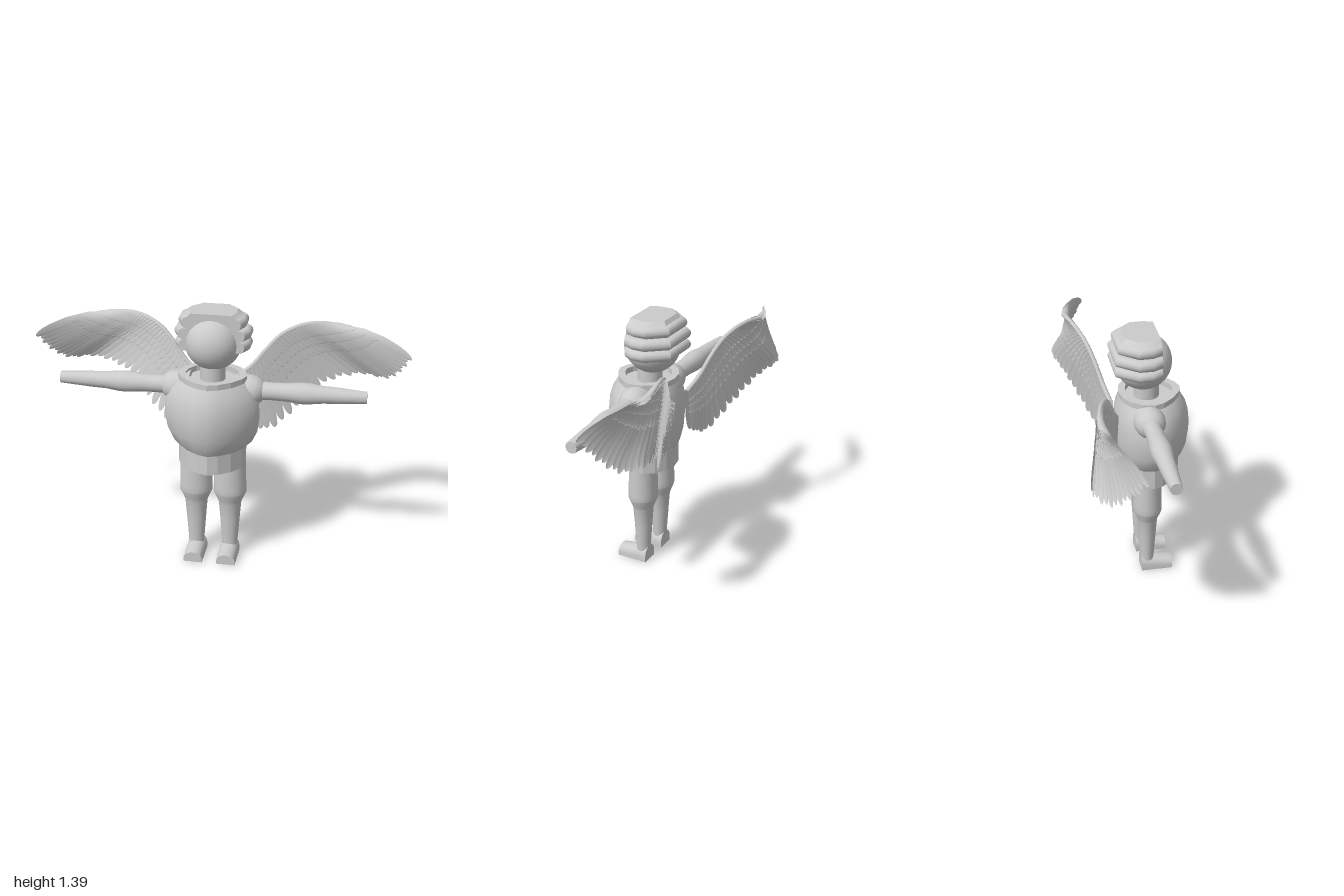
import * as THREE from 'three';
import { mergeGeometries, toCreasedNormals } from 'three/addons/utils/BufferGeometryUtils.js';

const V = (x, y, z) => new THREE.Vector3(x, y, z);
const grey = new THREE.MeshStandardMaterial({ color: 0xcccccc });
const greyDouble = new THREE.MeshStandardMaterial({ color: 0xcccccc, side: THREE.DoubleSide });

function add(parent, name, geometry, x = 0, y = 0, z = 0, material = grey) {
  const mesh = new THREE.Mesh(geometry, material);
  mesh.name = name;
  mesh.position.set(x, y, z);
  parent.add(mesh);
  return mesh;
}

// Skin closed loops of points, optionally capped, keeping edges sharper than `crease`
function loft(loops, caps = true, crease = 0.6) {
  const n = loops[0].length, pos = loops.flat().flatMap(p => [p.x, p.y, p.z]), index = [];
  for (let r = 0; r < loops.length - 1; r++) for (let i = 0; i < n; i++) {
    const a = r * n + i, b = r * n + (i + 1) % n;
    index.push(a, b, b + n, a, b + n, a + n);
  }
  if (caps) for (let i = 1; i < n - 1; i++) {
    const t = (loops.length - 1) * n;
    index.push(0, i + 1, i, t, t + i, t + i + 1);
  }
  const g = new THREE.BufferGeometry();
  g.setAttribute('position', new THREE.Float32BufferAttribute(pos, 3));
  g.setIndex(index);
  return toCreasedNormals(g, crease);
}

// Horizontal oval from half width and front/back depth, narrowing towards the front
function ring(y, rx, front, back, n = 16) {
  const c = (front + back) / 2, rz = (front - back) / 2;
  return Array.from({ length: n }, (_, i) => {
    const a = i / n * Math.PI * 2, s = Math.sin(a), k = Math.cos(a);
    const p = k > 0 ? 1.3 : 1;
    return V(rx * Math.sign(s) * Math.abs(s) ** p, y, c + rz * Math.sign(k) * Math.abs(k) ** p);
  });
}

const lathe = (pts, n = 20) => toCreasedNormals(
  new THREE.LatheGeometry(pts.map(p => new THREE.Vector2(...p)), n), 0.5);

function addBody(g) {
  add(g, 'torso', loft([
    [0.67, 0.18, 0.27, -0.06], [0.70, 0.21, 0.287, -0.068], [0.76, 0.238, 0.307, -0.08],
    [0.85, 0.25, 0.318, -0.086], [0.93, 0.244, 0.31, -0.083], [0.99, 0.22, 0.292, -0.074],
    [1.035, 0.18, 0.265, -0.06],
  ].map(r => ring(...r))));
  add(g, 'skirt', loft([ring(0.56, 0.18, 0.265, -0.06), ring(0.67, 0.18, 0.265, -0.06)], true, 0.2));
  add(g, 'collar', loft([
    ring(1.03, 0.18, 0.265, -0.06), ring(1.065, 0.18, 0.265, -0.06),
    ring(1.065, 0.14, 0.225, -0.025), ring(1.03, 0.14, 0.225, -0.025),
  ], false, 0.2));
  add(g, 'neck', new THREE.CylinderGeometry(0.066, 0.066, 0.12, 20), 0, 1.07, 0.087);
  add(g, 'head', new THREE.SphereGeometry(0.148, 32, 20), 0, 1.232, 0.07);
}

// Stacked rolls around the back and sides of the head, with a flat crown
function addHair(g) {
  const plan = (y, x, back) => {
    const xf = x * 0.86, xb = x * 0.55;
    return [V(-xf, y, 0.14), V(xf, y, 0.14), V(x, y, 0.09), V(x, y, 0.02),
      V(xb, y, back), V(-xb, y, back), V(-x, y, 0.02), V(-x, y, 0.09)];
  };
  const loops = [];
  [[0.165, -0.066], [0.167, -0.066], [0.145, -0.05]].forEach(([x, back], tier) => {
    for (let k = 0; k <= 8; k++) {
      const a = k / 8 * Math.PI, o = 0.03 * Math.sin(a);
      loops.push(plan(1.195 + tier * 0.06 + 0.03 * (1 - Math.cos(a)), x + o, back - o));
    }
  });
  loops.push(plan(1.395, 0.12, -0.035));
  add(g, 'hair', loft(loops));
}

function addArm(g, side, reach) {
  const arm = add(g, side > 0 ? 'leftArm' : 'rightArm', lathe([
    [0, 0.2], [0.05, 0.22], [0.046, 0.3], [0.048, 0.38], [0.056, 0.46], [0.054, 0.5],
    [0.045, 0.57], [0.042, 0.65], [0.031, reach], [0, reach],
  ]), 0, 0.975, 0.07);
  arm.rotation.z = -side * Math.PI / 2;
  const shoulder = add(g, side > 0 ? 'leftShoulder' : 'rightShoulder', lathe([
    [0, 0.1], [0.08, 0.12], [0.082, 0.19], [0.075, 0.225], [0.06, 0.25], [0.045, 0.262], [0, 0.262],
  ]), 0, 0.975, 0.07);
  shoulder.rotation.z = -side * Math.PI / 2;
}

function addLeg(g, side) {
  const label = side > 0 ? 'left' : 'right';
  const leg = add(g, label + 'Leg', lathe([
    [0, 0.05], [0.042, 0.06], [0.044, 0.1], [0.053, 0.22], [0.061, 0.32], [0.068, 0.34],
    [0.088, 0.385], [0.088, 0.42], [0.083, 0.57], [0, 0.57],
  ]), side * 0.092, 0, 0.08);
  leg.scale.z = 0.88;
  // Arched cross-section tapering to the toe
  const arch = (z, h) => {
    const pts = [V(-0.05, 0, z), V(0.05, 0, z)];
    for (let i = 0; i <= 8; i++) {
      const a = i / 8 * Math.PI;
      pts.push(V(0.05 * Math.cos(a), h * (0.4 + 0.6 * Math.sin(a)), z));
    }
    return pts;
  };
  add(g, label + 'Foot', loft([arch(0.045, 0.085), arch(0.09, 0.078), arch(0.215, 0.056)]), side * 0.09);
}

// Wing bone and the line of the feather tips; feathers run from one to the other
const bone = new THREE.CatmullRomCurve3([
  V(0.08, 0.97, -0.09), V(0.17, 1.03, -0.115), V(0.25, 1.125, -0.145), V(0.32, 1.195, -0.175),
  V(0.40, 1.233, -0.205), V(0.48, 1.248, -0.23), V(0.55, 1.245, -0.245), V(0.62, 1.233, -0.255),
]);
const tips = new THREE.CatmullRomCurve3([
  V(0.12, 0.73, -0.095), V(0.27, 0.67, -0.115), V(0.43, 0.79, -0.195), V(0.58, 0.91, -0.275),
  V(0.75, 0.945, -0.315), V(0.88, 0.955, -0.25), V(0.95, 1.03, -0.17), V(1.0, 1.13, -0.1),
]);

function wingPoint(t, s) {
  const p = bone.getPoint(t).lerp(tips.getPoint(t), s);
  p.y += 0.08 * s * (1 - s) * t;
  p.z -= 0.05 * s * (1 - s) * t;
  return p;
}

// One cambered blade with a rounded tip, tilted so that neighbours overlap
function feather(t, length, width, lift) {
  const profile = [[0, 0.45], [0.3, 0.8], [0.6, 1], [0.8, 0.95], [0.9, 0.8], [0.96, 0.58], [0.99, 0.3], [1, 0.05]];
  const pos = [], index = [];
  const t0 = Math.max(0, t - 0.01), t1 = Math.min(1, t + 0.01);
  profile.forEach(([u, w], r) => {
    const s = u * length, c = wingPoint(t, s);
    const along = wingPoint(t, s + 0.01).sub(wingPoint(t, s - 0.01)).normalize();
    const across = wingPoint(t1, s).sub(wingPoint(t0, s));
    across.addScaledVector(along, -across.dot(along)).normalize();
    const normal = V().crossVectors(along, across);
    across.addScaledVector(normal, -0.18).normalize();
    for (const k of [-1, 0, 1]) {
      const p = c.clone().addScaledVector(across, k * w * width)
        .addScaledVector(normal, lift + (k ? 0 : 0.003));
      pos.push(p.x, p.y, p.z);
    }
    if (r) for (const k of [0, 1]) {
      const a = (r - 1) * 3 + k;
      index.push(a, a + 1, a + 4, a, a + 4, a + 3);
    }
  });
  const g = new THREE.BufferGeometry();
  g.setAttribute('position', new THREE.Float32BufferAttribute(pos, 3));
  g.setIndex(index);
  g.computeVertexNormals();
  return g;
}

function addWing(g, side) {
  const wing = new THREE.Group();
  wing.name = side > 0 ? 'leftWing' : 'rightWing';
  // Name, count, length, half width, distance from the wing surface
  const layers = [
    ['flightFeathers', 30, 1, 0.027, 0], ['longCoverts', 32, 0.55, 0.018, 0.006],
    ['middleCoverts', 34, 0.38, 0.015, 0.01], ['shortCoverts', 36, 0.22, 0.012, 0.013],
  ];
  for (const [name, count, length, width, lift] of layers) {
    const list = [];
    for (let i = 0; i < count; i++) {
      const t = i / (count - 1), l = length * (i % 2 ? 1 : 0.975);
      for (const face of lift ? [1, -1] : [0]) list.push(feather(t, l, width, face * lift));
    }
    add(wing, name, mergeGeometries(list), 0, 0, 0, greyDouble);
  }
  add(wing, 'wingBone', new THREE.TubeGeometry(bone, 32, 0.012, 8), 0, 0, 0, greyDouble);
  wing.scale.x = side;
  g.add(wing);
}

export function createModel() {
  const g = new THREE.Group();
  g.name = 'wingedFigure';
  addBody(g);
  addHair(g);
  addArm(g, 1, 0.79);
  addArm(g, -1, 0.815);
  for (const side of [1, -1]) {
    addLeg(g, side);
    addWing(g, side);
  }
  return g;
}
